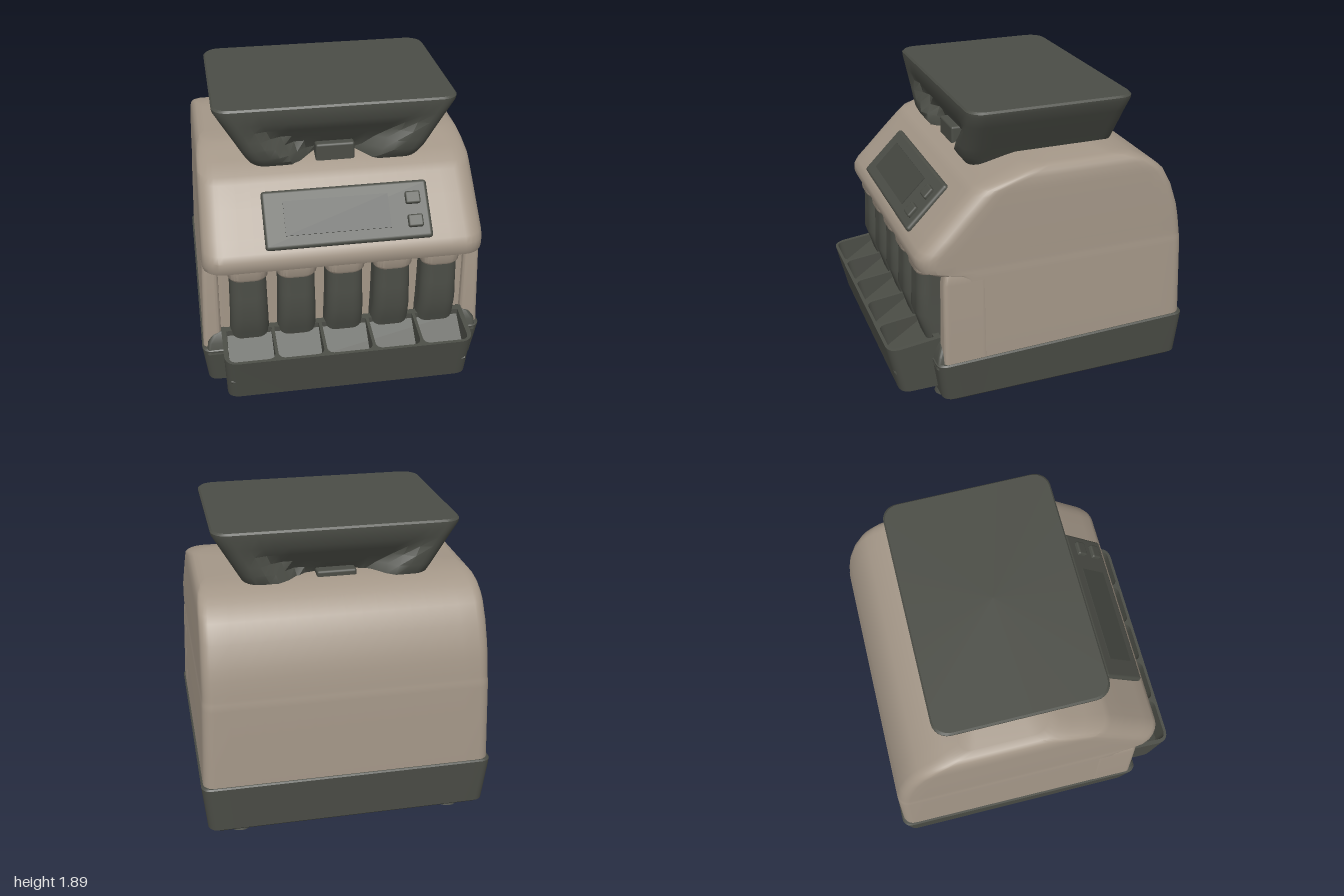
import * as THREE from 'three';
import { toCreasedNormals } from 'three/addons/utils/BufferGeometryUtils.js';
import { RoundedBoxGeometry } from 'three/addons/geometries/RoundedBoxGeometry.js';

const beige = new THREE.MeshStandardMaterial({ color: 0xa39687 });
beige.name = 'warm beige plastic';
const dark = new THREE.MeshStandardMaterial({ color: 0x4b4d46 });
dark.name = 'dark grey plastic';
const screenGrey = new THREE.MeshStandardMaterial({ color: 0x444640 });
screenGrey.name = 'screen grey';

// Closed solid lofted through rounded rectangles stacked in y.
// ring = [y, halfWidth, zFront, zBack, xCentre]; rf, rb = front and back corner radii
function loft(rings, rf, rb, rule) {
  const arc = 6, edge = 16, pos = [], idx = [];
  const corners = [[1, 1], [-1, 1], [-1, -1], [1, -1]];
  let n = 0;
  for (const [y, w, zf, zb, xc = 0] of rings) {
    const ring = [];
    corners.forEach(([sx, sz], i) => {
      const r = sz > 0 ? rf : rb;
      const cx = sx * (w - r), cz = sz > 0 ? zf - r : zb + r;
      for (let k = 0; k <= arc; k++) {
        const a = (i + k / arc) * Math.PI / 2;
        ring.push(new THREE.Vector3(xc + cx + r * Math.cos(a), y, cz + r * Math.sin(a)));
      }
      // straight run to the next corner
      const [nx, nz] = corners[(i + 1) % 4], nr = nz > 0 ? rf : rb;
      const a = (i + 1) * Math.PI / 2;
      const next = new THREE.Vector3(xc + nx * (w - nr) + nr * Math.cos(a), y,
        (nz > 0 ? zf - nr : zb + nr) + nr * Math.sin(a));
      const last = ring[ring.length - 1].clone();
      for (let k = 1; k < edge; k++) ring.push(last.clone().lerp(next, k / edge));
    });
    n = ring.length;
    for (const p of ring) {
      if (rule) rule(p);
      pos.push(p.x, p.y, p.z);
    }
  }
  for (let j = 0; j < rings.length - 1; j++) {
    for (let i = 0; i < n; i++) {
      const a = j * n + i, b = j * n + (i + 1) % n;
      idx.push(a, a + n, b, b, a + n, b + n);
    }
  }
  // end caps
  for (const top of [false, true]) {
    const [y, , zf, zb, xc = 0] = rings[top ? rings.length - 1 : 0];
    const c = pos.length / 3, s = top ? (rings.length - 1) * n : 0;
    const mid = new THREE.Vector3(xc, y, (zf + zb) / 2);
    if (rule) rule(mid);
    pos.push(mid.x, mid.y, mid.z);
    for (let i = 0; i < n; i++) {
      const a = s + i, b = s + (i + 1) % n;
      if (top) idx.push(c, b, a); else idx.push(c, a, b);
    }
  }
  const g = new THREE.BufferGeometry();
  g.setAttribute('position', new THREE.Float32BufferAttribute(pos, 3));
  g.setIndex(idx);
  return toCreasedNormals(g, 0.6);
}

function add(parent, name, geometry, material, x = 0, y = 0, z = 0) {
  const m = new THREE.Mesh(geometry, material);
  m.name = name;
  m.position.set(x, y, z);
  parent.add(m);
  return m;
}

export function createModel() {
  const model = new THREE.Group();
  model.name = 'coinSorter';

  // Housing with the overhanging head and curved back
  add(model, 'housing', loft([
    [0.30, 0.92, 0.62, -0.985], [0.90, 0.897, 0.62, -0.963], [0.93, 0.895, 0.66, -0.96],
    [0.945, 0.893, 0.75, -0.957], [0.965, 0.892, 0.795, -0.954], [1.0, 0.891, 0.81, -0.95],
    [1.05, 0.89, 0.81, -0.942], [1.09, 0.889, 0.785, -0.935], [1.16, 0.887, 0.715, -0.92],
    [1.30, 0.882, 0.58, -0.872], [1.41, 0.878, 0.47, -0.81], [1.445, 0.876, 0.43, -0.772],
    [1.49, 0.87, 0.30, -0.715], [1.52, 0.86, 0.21, -0.65], [1.543, 0.84, 0.14, -0.59],
    [1.555, 0.80, 0.09, -0.5]], 0.13, 0.07), beige);

  // Base, its top edge rising slightly towards the back
  add(model, 'base', loft([
    [0.05, 0.885, 0.66, -0.965], [0.065, 0.90, 0.68, -0.98], [0.335, 0.93, 0.72, -0.995],
    [0.345, 0.922, 0.71, -0.988]], 0.06, 0.06,
  p => { if (p.y > 0.3) p.y += 0.01 - p.z * 0.025; }), dark);

  for (const s of [-1, 1]) {
    // Side walls framing the chutes, and dark lugs beside the tray
    add(model, 'cheek', loft([
      [0.30, 0.06, 0.675, 0.4, s * 0.861], [0.88, 0.05, 0.665, 0.4, s * 0.848],
      [0.94, 0.045, 0.655, 0.4, s * 0.846], [0.97, 0.03, 0.62, 0.4, s * 0.846]], 0.028, 0.01), beige);
    add(model, 'trayLug', loft([
      [0.30, 0.065, 0.72, 0.5, s * 0.835], [0.38, 0.06, 0.705, 0.5, s * 0.83],
      [0.43, 0.04, 0.68, 0.5, s * 0.815], [0.445, 0.02, 0.67, 0.5, s * 0.80]], 0.018, 0.01), dark);
    // Feet
    for (const z of [0.61, -0.85]) {
      add(model, 'foot', new THREE.CylinderGeometry(0.05, 0.07, 0.06, 20), dark, s * 0.69, 0.03, z);
    }
  }

  // Five coin chutes with pale rims
  for (let i = -2; i <= 2; i++) {
    const x = i * 0.307;
    add(model, 'chute', loft([
      [0.40, 0.125, 0.72, 0.58, x], [0.47, 0.125, 0.74, 0.58, x], [0.60, 0.12, 0.78, 0.58, x],
      [0.75, 0.117, 0.772, 0.58, x], [0.895, 0.115, 0.768, 0.58, x]], 0.07, 0.02), dark);
    add(model, 'chuteRim', loft([
      [0.885, 0.115, 0.77, 0.58, x], [0.905, 0.125, 0.782, 0.58, x],
      [0.97, 0.13, 0.785, 0.58, x]], 0.07, 0.02), beige);
  }

  // Collecting tray: rounded front, five open compartments, leaning outwards
  const tray = new THREE.Group();
  tray.name = 'tray';
  model.add(tray);
  const plan = new THREE.Shape();
  plan.moveTo(-0.8, 0.66);
  plan.lineTo(0.8, 0.66);
  plan.lineTo(0.8, 0.91);
  plan.quadraticCurveTo(0.8, 1, 0.71, 1);
  plan.lineTo(-0.71, 1);
  plan.quadraticCurveTo(-0.8, 1, -0.8, 0.91);
  plan.closePath();
  for (let i = -2; i <= 2; i++) {
    const x = i * 0.312, h = 0.146, r = 0.05;
    const hole = new THREE.Path();
    hole.moveTo(x - h, 0.7);
    hole.lineTo(x - h, 0.98 - r);
    hole.quadraticCurveTo(x - h, 0.98, x - h + r, 0.98);
    hole.lineTo(x + h - r, 0.98);
    hole.quadraticCurveTo(x + h, 0.98, x + h, 0.98 - r);
    hole.lineTo(x + h, 0.7);
    hole.closePath();
    plan.holes.push(hole);
  }
  const shell = new THREE.ExtrudeGeometry(plan, { depth: 0.32, bevelEnabled: false, curveSegments: 8 });
  shell.rotateX(Math.PI / 2).translate(0, 0.43, 0);
  const p = shell.attributes.position;
  for (let i = 0; i < p.count; i++) {
    const t = (p.getY(i) - 0.11) / 0.32, z = p.getZ(i);
    p.setZ(i, z - (1 - t) * 0.07 * (z - 0.66) / 0.34);
    p.setX(i, p.getX(i) * (0.985 + 0.015 * t));
    p.setY(i, p.getY(i) + t * (1 - z) * 0.12);
  }
  add(tray, 'trayShell', toCreasedNormals(shell, 0.6), dark);
  add(tray, 'trayFloor', new THREE.BoxGeometry(1.5, 0.02, 0.24), dark, 0, 0.122, 0.79);
  const ramp = add(tray, 'trayRamp', new THREE.BoxGeometry(1.53, 0.02, 0.31), dark, 0, 0.335, 0.825);
  ramp.rotation.x = 0.6;

  // Hopper: flared, with a hollow in the middle of its front and back
  add(model, 'hopper', loft([
    [1.46, 0.54, 0.36, -0.5], [1.50, 0.56, 0.39, -0.56], [1.54, 0.582, 0.41, -0.592],
    [1.60, 0.616, 0.416, -0.6], [1.66, 0.65, 0.42, -0.606], [1.72, 0.684, 0.426, -0.612],
    [1.78, 0.718, 0.432, -0.618], [1.86, 0.763, 0.44, -0.63], [1.88, 0.766, 0.44, -0.63],
    [1.892, 0.755, 0.43, -0.62]], 0.1, 0.1, q => {
    const d = 1.78 - q.y;
    const dent = Math.max(0, Math.min(d * 0.6, (0.6 - d * 1.1 - Math.abs(q.x)) * 0.8));
    if (q.z > 0.2) q.z -= dent;
    else if (q.z < -0.35) q.z += dent;
  }), dark);
  for (const z of [0.27, -0.47]) {
    add(model, 'hopperLatch', new RoundedBoxGeometry(0.25, 0.13, 0.16, 2, 0.015), dark, 0, 1.52, z);
  }

  // Tilted control panel with screen and two buttons
  const panel = new THREE.Group();
  panel.name = 'controlPanel';
  panel.position.set(0.025, 1.235, 0.645);
  panel.rotation.x = -0.785;
  model.add(panel);
  add(panel, 'panelPlate', new RoundedBoxGeometry(1.05, 0.375, 0.05, 3, 0.022), dark);
  add(panel, 'screen', new THREE.BoxGeometry(0.66, 0.22, 0.008), screenGrey, -0.065, 0, 0.027);
  for (const y of [-0.08, 0.07]) {
    add(panel, 'button', new RoundedBoxGeometry(0.095, 0.08, 0.05, 2, 0.012), dark, 0.42, y, 0.025);
  }
  return model;
}
